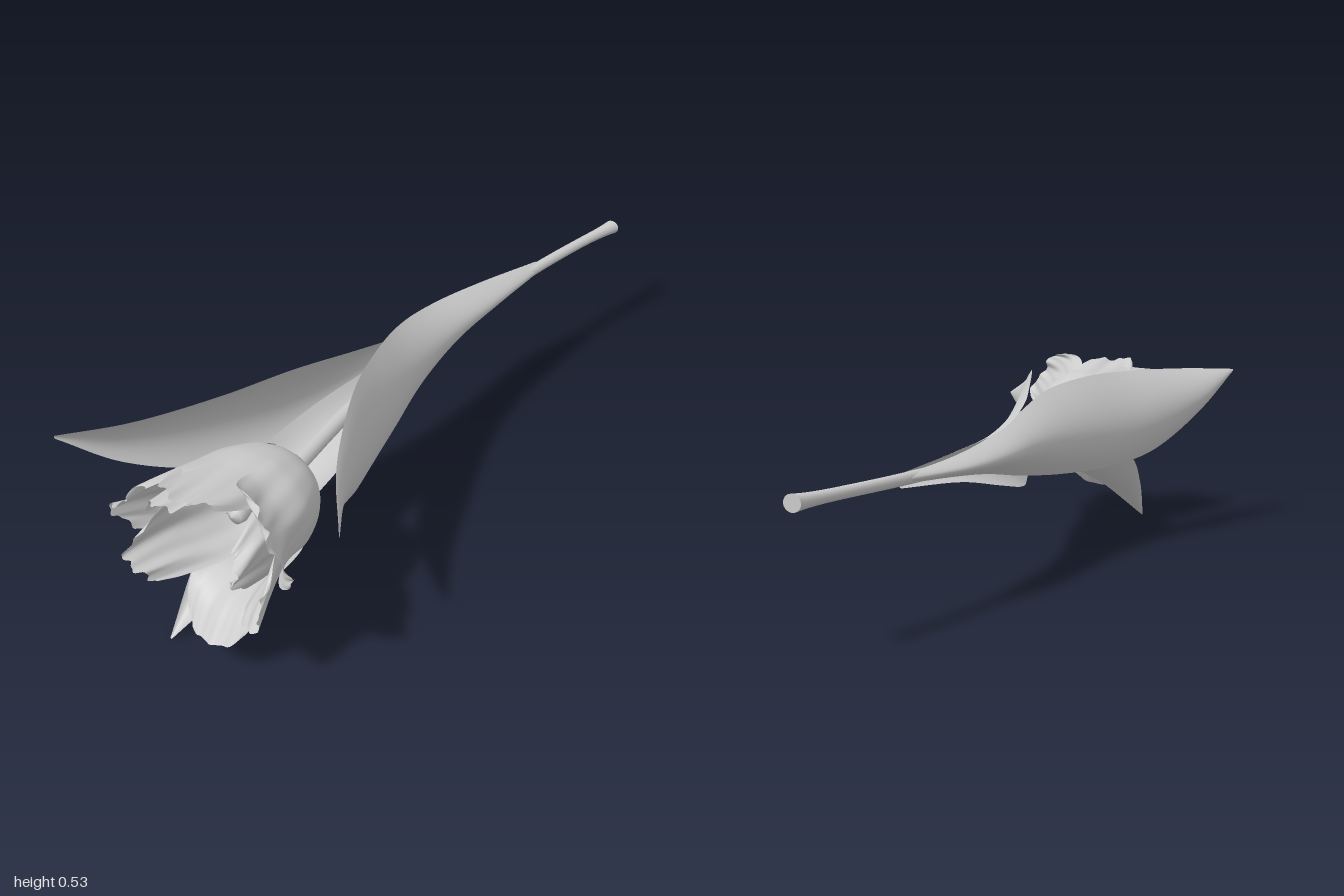
import * as THREE from 'three';

const mat = new THREE.MeshStandardMaterial({ color: 0xcccccc, side: THREE.DoubleSide });
const lerp = THREE.MathUtils.lerp;

// Smooth surface from a rule f(u, v) -> [x, y, z], u and v in 0..1
function surface(name, nu, nv, f) {
  const geo = new THREE.PlaneGeometry(1, 1, nu, nv);
  const pos = geo.attributes.position, uv = geo.attributes.uv;
  for (let i = 0; i < pos.count; i++) pos.setXYZ(i, ...f(uv.getX(i), uv.getY(i)));
  geo.computeVertexNormals();
  const mesh = new THREE.Mesh(geo, mat);
  mesh.name = name;
  return mesh;
}

const curve = (pts) => new THREE.CatmullRomCurve3(pts.map((p) => new THREE.Vector3(...p)), false, 'centripetal');

// Leaf from rows of [z, edge x, edge y, midrib x, midrib y, other edge x, other edge y]
function leaf(name, rows) {
  const [a, m, b] = [1, 3, 5].map((k) => curve(rows.map((r) => [r[k], r[k + 1], r[0]])));
  return surface(name, 16, 56, (u, v) => {
    const A = a.getPoint(v), M = m.getPoint(v), B = b.getPoint(v);
    const wa = (1 - u) * (1 - 2 * u), wm = 4 * u * (1 - u), wb = u * (2 * u - 1);
    return A.multiplyScalar(wa).addScaledVector(M, wm).addScaledVector(B, wb).toArray();
  });
}

// Petal: radial profile of [radius, z], spread around the flower axis, ruffled near the rim
const CX = 0.065, CY = 0.35;
function petal(name, deg, spread, profile, phase, ruffle) {
  const c = curve(profile.map(([r, z]) => [r, 0, z]));
  const mid = THREE.MathUtils.degToRad(deg);
  return surface(name, 48, 48, (u, v) => {
    const s = u * 2 - 1, p = c.getPoint(v);
    const width = spread * (0.75 + 0.25 * Math.sin(v * Math.PI)) * Math.sqrt(1 - 0.45 * v ** 6);
    const ang = mid + s * width + ruffle * v * v * Math.sin(8 * v + phase);
    const fold = Math.sin(5 * s + phase + 4 * v) + 0.35 * Math.sin(13 * s - phase * 2 + 9 * v);
    const r = p.x * (1 - 0.1 * s * s * v ** 4) + ruffle * v * v * fold * 0.7;
    const z = p.z - 0.045 * v ** 3 * s * s + ruffle * v ** 4 * (0.35 * Math.sin(12 * s + phase) + 0.15 * Math.sin(29 * s));
    const dy = r * Math.sin(ang);
    // the bloom is a little flattened on top
    return [CX + r * Math.cos(ang), CY + dy * (dy > 0 ? 1 - 0.8 * dy : 1), z];
  });
}

export function createModel() {
  const model = new THREE.Group();
  model.name = 'tulip';

  // Stem, flared at the cut end
  const path = curve([[0.002, 0.345, -1], [-0.02, 0.345, -0.85], [-0.043, 0.343, -0.62], [-0.055, 0.342, -0.3],
    [-0.04, 0.345, 0], [0, 0.35, 0.3], [0.055, 0.35, 0.585]]);
  const stemRadius = (v) => 0.014 + 0.009 * Math.exp(-v * 14) + 0.008 * v;
  model.add(surface('stem', 16, 60, (u, v) => {
    const p = path.getPoint(v), a = u * Math.PI * 2, r = stemRadius(v);
    return [p.x + r * Math.cos(a), p.y + r * 0.9 * Math.sin(a), p.z];
  }));
  const cut = new THREE.Mesh(new THREE.CircleGeometry(0.023, 16), mat);
  cut.name = 'stemCut';
  cut.scale.y = 0.9;
  cut.position.set(0.002, 0.345, -1);
  model.add(cut);

  // Three leaves sheathing the stem
  model.add(leaf('leftLeaf', [
    [-0.64, -0.05, 0.36, -0.028, 0.342, -0.05, 0.325],
    [-0.4, -0.08, 0.388, -0.016, 0.342, -0.08, 0.306],
    [-0.2, -0.09, 0.413, -0.005, 0.342, -0.085, 0.268],
    [0, -0.055, 0.454, 0.03, 0.342, -0.05, 0.232],
    [0.2, 0.02, 0.495, 0.09, 0.35, 0.03, 0.215],
    [0.4, 0.11, 0.512, 0.158, 0.375, 0.12, 0.235],
    [0.6, 0.225, 0.46, 0.25, 0.4, 0.23, 0.335],
    [0.73, 0.34, 0.408, 0.342, 0.405, 0.34, 0.4],
  ]));
  model.add(leaf('rightLeaf', [
    [-0.62, -0.046, 0.354, -0.058, 0.343, -0.046, 0.332],
    [-0.4, -0.06, 0.37, -0.108, 0.342, -0.06, 0.318],
    [-0.2, -0.05, 0.39, -0.115, 0.342, -0.05, 0.295],
    [0, -0.035, 0.428, -0.112, 0.345, -0.05, 0.262],
    [0.2, -0.035, 0.478, -0.13, 0.35, -0.08, 0.24],
    [0.4, -0.08, 0.503, -0.172, 0.36, -0.14, 0.237],
    [0.6, -0.14, 0.505, -0.235, 0.385, -0.205, 0.265],
    [0.8, -0.235, 0.5, -0.3, 0.43, -0.28, 0.365],
    [0.935, -0.345, 0.492, -0.347, 0.488, -0.345, 0.484],
  ]));
  model.add(leaf('lowerLeaf', [
    [-0.25, -0.055, 0.345, -0.045, 0.325, -0.03, 0.345],
    [0.1, -0.1, 0.335, -0.04, 0.285, 0.03, 0.33],
    [0.35, -0.135, 0.3, -0.05, 0.24, 0.06, 0.28],
    [0.57, -0.145, 0.245, -0.05, 0.168, 0.07, 0.23],
    [0.75, -0.108, 0.135, -0.052, 0.095, 0.035, 0.135],
    [0.91, -0.058, 0.002, -0.055, 0, -0.052, 0.002],
  ]));

  // Flower: flared outer and curled inner petals; [name, angle, spread, tip radius, tip z, phase, ruffle, cup scale]
  const flower = new THREE.Group();
  flower.name = 'flower';
  const petals = [
    ['outerPetal', 25, 0.9, 0.28, 0.905, 0.4, 0.018, 1],
    ['outerPetal', 155, 0.9, 0.195, 0.975, 2.1, 0.02, 1],
    ['outerPetal', 328, 0.75, 0.225, 0.93, 3.6, 0.014, 0.97],
    ['outerPetal', 92, 0.85, 0.195, 0.945, 1.2, 0.018, 0.97],
    ['innerPetal', 208, 0.85, 0.165, 0.98, 5.0, 0.018, 0.9],
    ['innerPetal', 355, 0.85, 0.14, 0.93, 2.7, 0.018, 0.88],
    ['innerPetal', 118, 0.8, 0.145, 0.96, 4.2, 0.018, 0.88],
  ];
  for (const [name, deg, spread, tip, z, phase, ruffle, k] of petals) {
    flower.add(petal(name, deg, spread, [[0.005, 0.57], [0.1 * k, 0.595], [0.148 * k, 0.68],
      [0.165 * k, 0.78], [lerp(0.165 * k, tip, 0.45), 0.86], [tip, z]], phase, ruffle));
  }
  flower.add(petal('droopingPetal', 276, 0.75, [[0.005, 0.572], [0.1, 0.598], [0.15, 0.68],
    [0.17, 0.79], [0.2, 0.86], [0.268, 0.925]], 0.9, 0.006));

  // Pistil with a rounded stigma
  const pistil = new THREE.Mesh(new THREE.LatheGeometry([[0.018, 0], [0.02, 0.08], [0.016, 0.15], [0.025, 0.175],
    [0.022, 0.195], [0, 0.203]].map((p) => new THREE.Vector2(...p)), 16), mat);
  pistil.name = 'pistil';
  pistil.rotation.x = Math.PI / 2;
  pistil.position.set(0.055, 0.345, 0.575);
  flower.add(pistil);

  // Six stamens: thin filament and a long anther, three leaning to each side
  for (const side of [-1, 1]) for (const row of [-1, 0, 1]) {
    const at = (r, z) => [0.065 + side * r, 0.34 + row * r * 0.45, z];
    const stamen = new THREE.Group();
    stamen.name = 'stamen';
    const filament = new THREE.Mesh(new THREE.TubeGeometry(curve([at(0.015, 0.58), at(0.035, 0.64), at(0.045, 0.7)]), 8, 0.004, 6), mat);
    filament.name = 'filament';
    const anther = new THREE.Mesh(new THREE.CapsuleGeometry(0.006, 0.045, 4, 8), mat);
    anther.name = 'anther';
    anther.position.set(...at(0.055, 0.72));
    anther.quaternion.setFromUnitVectors(new THREE.Vector3(0, 1, 0), new THREE.Vector3(side * 0.6, row * 0.25, 1).normalize());
    stamen.add(filament, anther);
    flower.add(stamen);
  }
  model.add(flower);
  return model;
}
